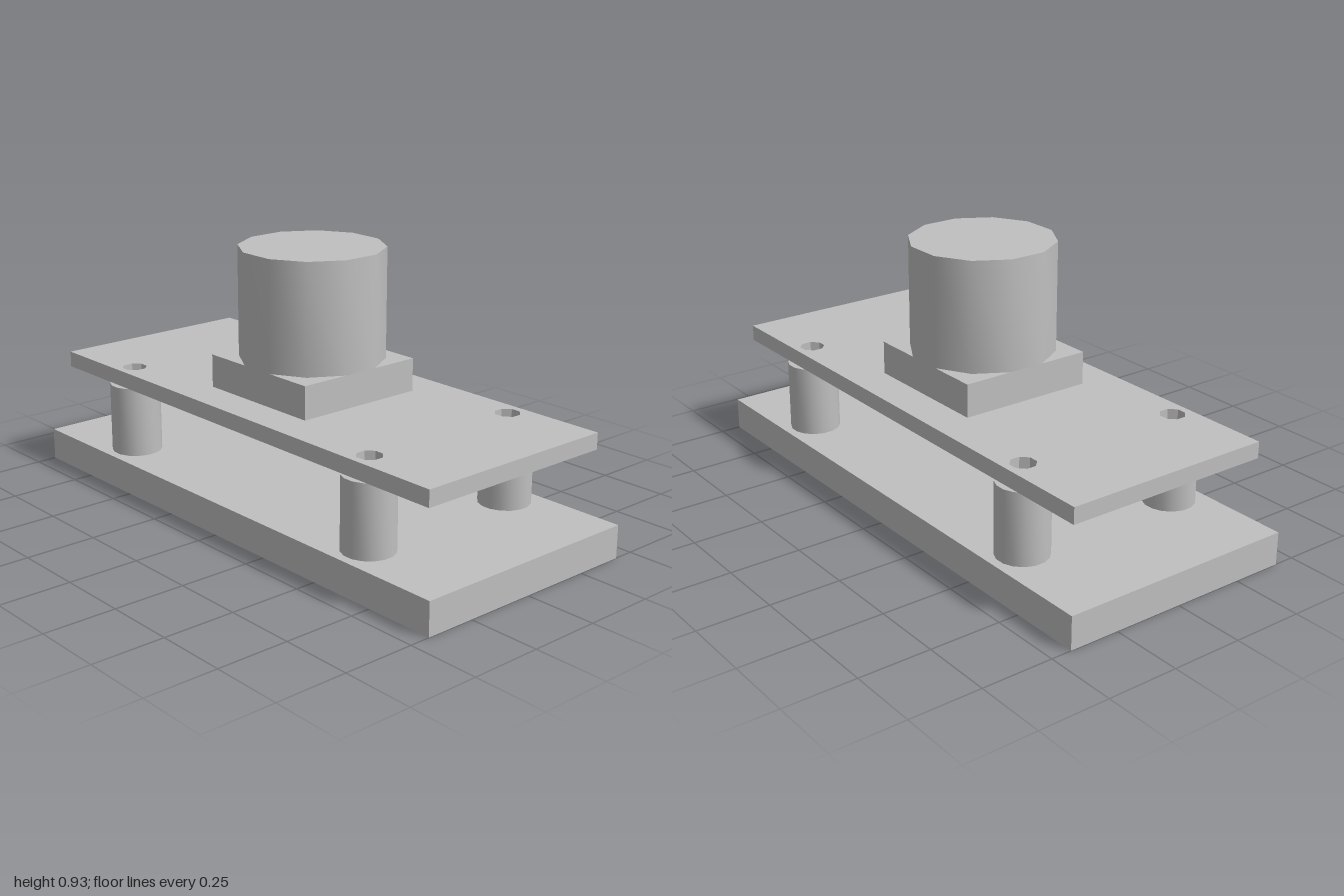
import * as THREE from 'three';
import { toCreasedNormals } from 'three/addons/utils/BufferGeometryUtils.js';

export function createModel() {
  const model = new THREE.Group();
  model.name = 'platformAssembly';
  const grey = new THREE.MeshStandardMaterial({ color: 0xc0c0c0 });
  grey.name = 'plasticGrey';
  const pitch = 2 / 7;

  const add = (name, geometry, x = 0, y = 0, z = 0, parent = model) => {
    const mesh = new THREE.Mesh(geometry, grey);
    mesh.name = name;
    mesh.position.set(x, y, z);
    parent.add(mesh);
    return mesh;
  };
  const group = (name) => {
    const g = new THREE.Group();
    g.name = name;
    model.add(g);
    return g;
  };
  // Outlines lie in the ground plane
  const rect = (hx, hz) => [[-hx, -hz], [hx, -hz], [hx, hz], [-hx, hz]].map(([x, z]) => new THREE.Vector2(x, z));
  const circle = (r, sides, cx = 0, cz = 0) => Array.from({ length: sides }, (_, i) => {
    const a = ((i + 0.5) / sides) * Math.PI * 2;
    return new THREE.Vector2(cx + r * Math.cos(a), cz + r * Math.sin(a));
  });
  // Upright slab with holes, standing on y = 0
  const slab = (outline, holes, height, crease = 0.3) => {
    const shape = new THREE.Shape(outline);
    holes.forEach((h) => shape.holes.push(new THREE.Path(h)));
    const g = new THREE.ExtrudeGeometry(shape, { depth: height, bevelEnabled: false });
    g.rotateX(-Math.PI / 2);
    return toCreasedNormals(g, crease);
  };

  // Hollow base: rim wall and ceiling
  const hx = 1, hz = 0.428, wall = 0.043, ceiling = 0.08, baseTop = 0.115;
  const base = group('base');
  add('baseRim', slab(rect(hx, hz), [rect(hx - wall, hz - wall)], ceiling), 0, 0, 0, base);
  add('baseTop', new THREE.BoxGeometry(hx * 2, baseTop - ceiling, hz * 2), 0, (baseTop + ceiling) / 2, 0, base);

  // Tubes under the base
  const tube = slab(circle(0.116, 10), [circle(0.083, 10)], ceiling);
  for (let i = 0; i < 6; i++)
    for (const s of [-1, 1]) add('underTube', tube, (i - 2.5) * pitch, 0, s * pitch / 2, base);

  // Small ribs on the inner walls
  const rib = new THREE.BoxGeometry(0.02, ceiling, 0.012);
  for (const s of [-1, 1]) {
    for (let i = -3; i <= 3; i++) add('longWallRib', rib, i * pitch, ceiling / 2, s * (hz - wall - 0.005), base);
    for (let i = -1; i <= 1; i++)
      add('shortWallRib', rib, s * (hx - wall - 0.005), ceiling / 2, i * pitch, base).rotation.y = Math.PI / 2;
  }

  // Hollow standoffs carrying the upper plate
  const plateY = 0.367, plateTop = 0.424, px = 0.618, pz = 0.309, bore = 0.044;
  const corners = [[-px, -pz], [px, -pz], [px, pz], [-px, pz]];
  const standoff = slab(circle(0.09, 16), [circle(bore, 8)], plateY - baseTop, 0.6);
  corners.forEach(([x, z]) => add('standoff', standoff, x, baseTop, z));

  // Upper plate with four screw holes
  add('upperPlate', slab(rect(0.938, 0.376), corners.map(([x, z]) => circle(bore, 8, x, z)), plateTop - plateY), 0, plateY, 0);

  // Square block and drum
  add('squareBlock', new THREE.BoxGeometry(0.486, 0.116, 0.486), 0, plateTop + 0.058, 0);
  add('drum', slab(circle(0.243 / Math.cos(Math.PI / 12), 12), [], 0.386, 0.6), 0, 0.54, 0);

  return model;
}
